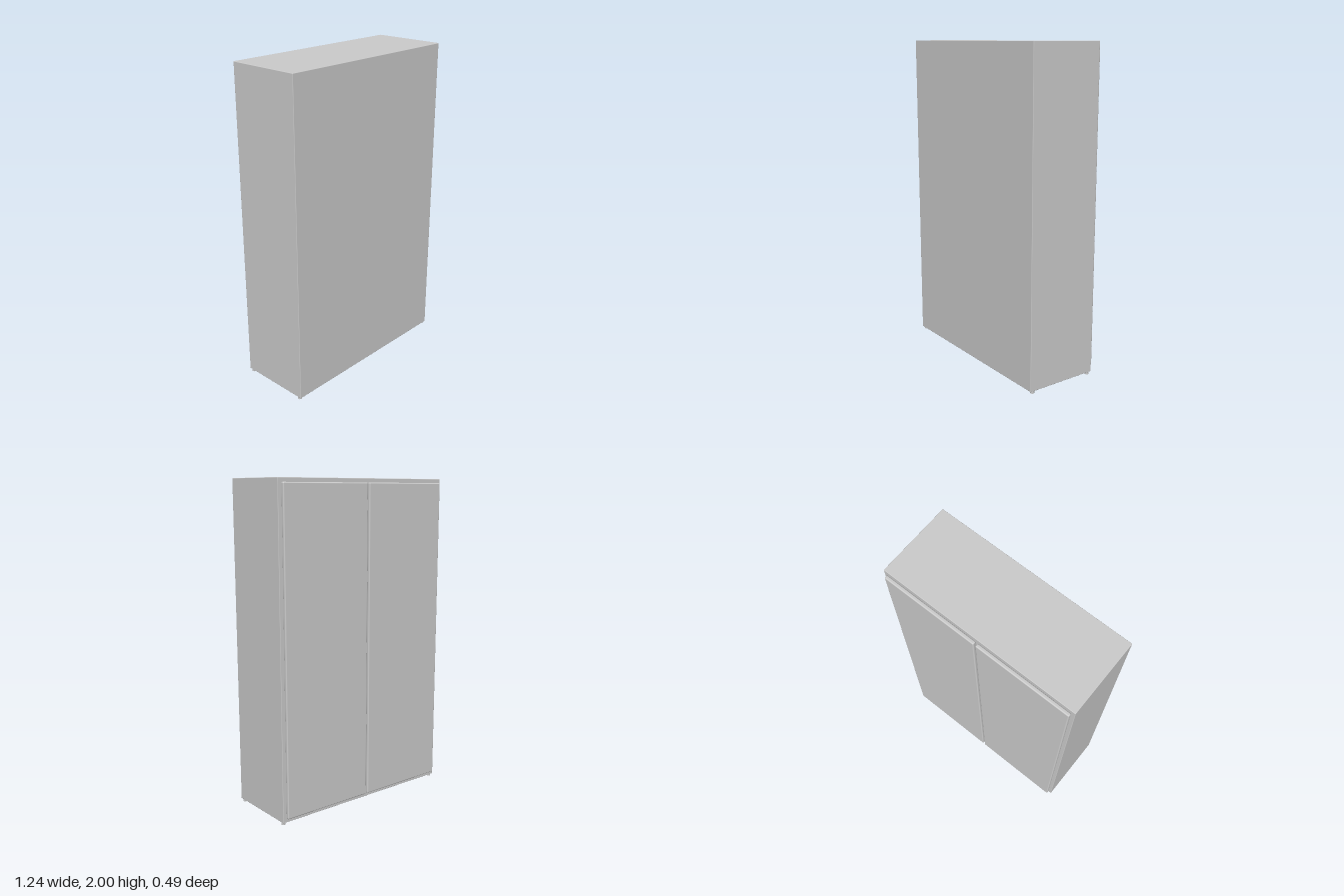
import * as THREE from 'three';
import { RoundedBoxGeometry } from 'three/addons/geometries/RoundedBoxGeometry.js';

export function createModel() {
  const group = new THREE.Group();
  const grey = new THREE.MeshStandardMaterial({ color: 0xcccccc });

  const add = (name, geometry, x, y, z) => {
    const mesh = new THREE.Mesh(geometry, grey);
    mesh.name = name;
    mesh.position.set(x, y, z);
    group.add(mesh);
  };

  // box given by its limits, with slightly softened edges
  const slab = (name, [x0, x1], [y0, y1], [z0, z1], radius) =>
    add(name, new RoundedBoxGeometry(x1 - x0, y1 - y0, z1 - z0, 3, radius),
      (x0 + x1) / 2, (y0 + y1) / 2, (z0 + z1) / 2);

  // cabinet body
  slab('cabinetBody', [-0.62, 0.62], [0.015, 2], [-0.223, 0.247], 0.003);

  // pair of doors on the -z side, with a narrow gap between them
  slab('rightDoor', [-0.6, -0.011], [0.042, 1.975], [-0.247, -0.225], 0.007);
  slab('leftDoor', [0.001, 0.6], [0.042, 1.975], [-0.247, -0.225], 0.007);

  // hinge strips joining the doors to the body
  for (const x of [-0.585, 0.585]) {
    slab('hingeStrip', [x - 0.008, x + 0.008], [0.06, 1.955], [-0.228, -0.22], 0.001);
  }

  // four small round feet
  const foot = new THREE.CylinderGeometry(0.012, 0.012, 0.017, 16);
  for (const x of [-0.606, 0.606]) {
    for (const z of [-0.202, 0.224]) add('foot', foot, x, 0.0085, z);
  }
  return group;
}
